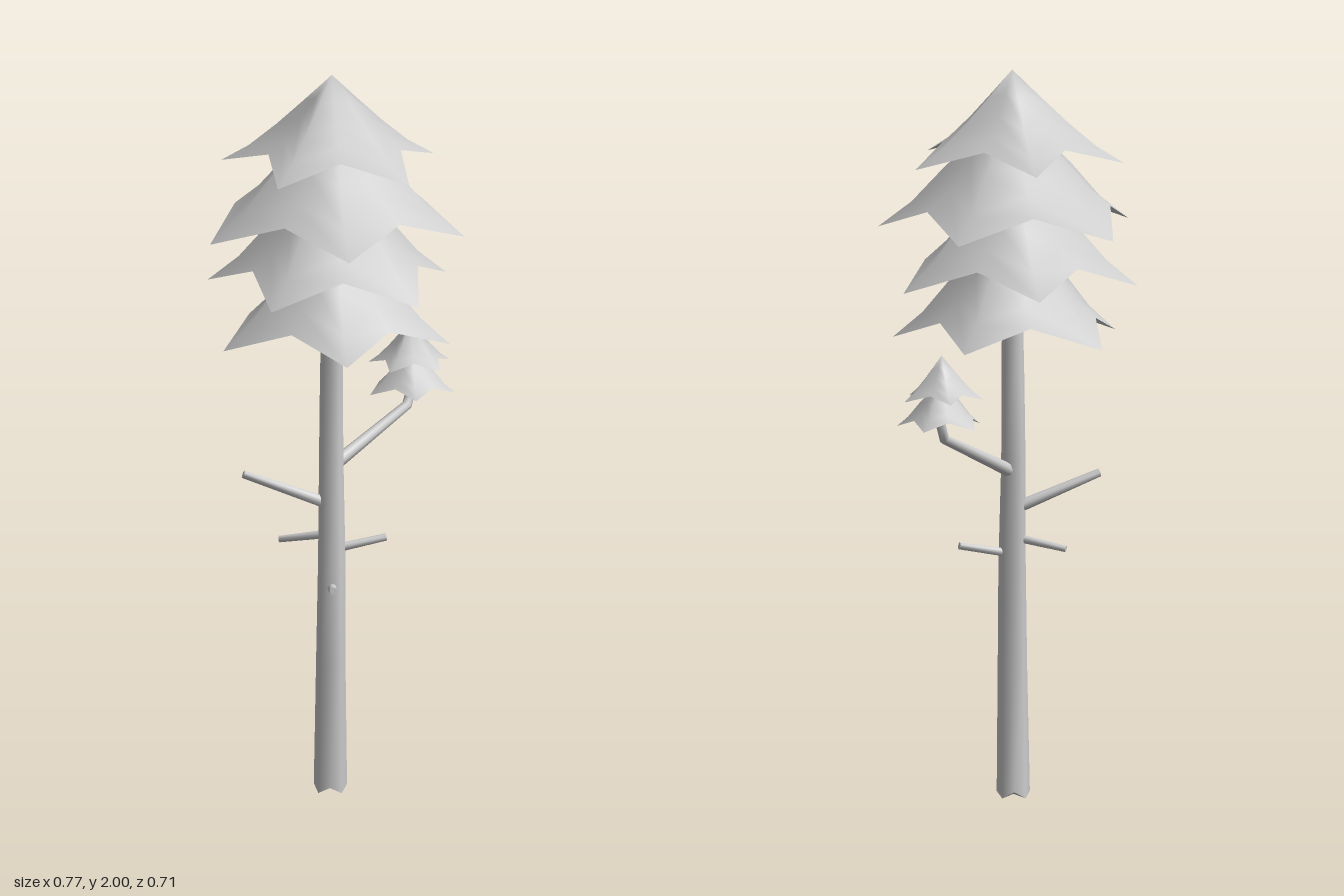
import * as THREE from 'three';

const material = new THREE.MeshStandardMaterial({ color: 0xcccccc });
const leafMaterial = new THREE.MeshStandardMaterial({ color: 0xcccccc, side: THREE.DoubleSide });
const UP = new THREE.Vector3(0, 1, 0);

function addMesh(parent, name, geometry, mat) {
  const mesh = new THREE.Mesh(geometry, mat);
  mesh.name = name;
  parent.add(mesh);
  return mesh;
}

function indexedGeometry(positions, index) {
  const geometry = new THREE.BufferGeometry();
  geometry.setAttribute('position', new THREE.Float32BufferAttribute(positions, 3));
  geometry.setIndex(index);
  geometry.computeVertexNormals();
  return geometry;
}

// Tapered limb through stations [x, y, z, radius]; jag makes the first ring uneven
function limb(stations, sides, jag = 0) {
  const pts = stations.map(([x, y, z]) => new THREE.Vector3(x, y, z));
  const positions = [], index = [];
  const ring = (i, lift) => {
    const a = pts[Math.max(i - 1, 0)], b = pts[i], c = pts[Math.min(i + 1, pts.length - 1)];
    const dir = new THREE.Vector3();
    if (i > 0) dir.add(b.clone().sub(a).normalize());
    if (i < pts.length - 1) dir.add(c.clone().sub(b).normalize());
    const q = new THREE.Quaternion().setFromUnitVectors(UP, dir.normalize());
    for (let s = 0; s < sides; s++) {
      const t = (s / sides) * Math.PI * 2, r = stations[i][3];
      const v = new THREE.Vector3(Math.sin(t) * r, lift * (s % 2), Math.cos(t) * r);
      positions.push(...v.applyQuaternion(q).add(b).toArray());
    }
  };
  const cap = (i, lift, flip) => {
    const start = positions.length / 3;
    ring(i, lift);
    positions.push(pts[i].x, pts[i].y + lift / 2, pts[i].z);
    for (let s = 0; s < sides; s++) {
      const a = start + s, b = start + (s + 1) % sides;
      index.push(start + sides, flip ? b : a, flip ? a : b);
    }
  };
  pts.forEach((_, i) => ring(i, i === 0 ? jag : 0));
  for (let i = 0; i < pts.length - 1; i++) {
    for (let s = 0; s < sides; s++) {
      const a = i * sides + s, b = i * sides + (s + 1) % sides;
      index.push(a, b, b + sides, a, b + sides, a + sides);
    }
  }
  cap(0, jag, true);
  cap(pts.length - 1, 0, false);
  return indexedGeometry(positions, index);
}

// Height fractions at a quarter, half, three quarters and all of the radius
const POINTED = [0.71, 0.43, 0.18, 0];
const DOMED = [0.9, 0.6, 0.25, 0];

// Open five-pointed star cone, rim tips at y = 0, notches drawn in and raised
function starCone(profile, radius, rise, notchRadius, notchLift, turned) {
  const positions = [0, rise, 0], index = [];
  const n = 10;
  profile.forEach((height, k) => {
    const s = (k + 1) / profile.length;
    for (let j = 0; j < n; j++) {
      const tip = j % 2 === 0;
      const angle = (j / n) * Math.PI * 2 + (turned ? Math.PI : 0);
      const r = s * (tip ? radius : notchRadius);
      const y = rise - (1 - height) * (tip ? rise : rise - notchLift);
      positions.push(Math.sin(angle) * r, y, Math.cos(angle) * r);
      const a = 1 + k * n + j, b = 1 + k * n + (j + 1) % n;
      if (k === 0) index.push(0, a, b);
      else index.push(a - n, a, b, a - n, b, b - n);
    }
  });
  return indexedGeometry(positions, index);
}

export function createModel() {
  const tree = new THREE.Group();
  tree.name = 'tree';

  // Gently bent trunk with a rough cut foot
  addMesh(tree, 'trunk', limb([
    [-0.05, 0.006, 0.015, 0.045], [-0.06, 0.36, 0.027, 0.04], [-0.045, 0.65, 0.015, 0.037],
    [-0.03, 0.93, -0.003, 0.033], [-0.034, 1.15, 0.002, 0.031], [-0.038, 1.37, 0.008, 0.028],
  ], 8, 0.018), material);

  // Crown tiers: [tip height, profile, radius, rise, notch radius, notch lift, turned]
  const crown = new THREE.Group();
  crown.name = 'crown';
  crown.position.set(-0.04, 0, 0.01);
  tree.add(crown);
  [
    [1.748, POINTED, 0.305, 0.252, 0.19, 0.05, false],
    [1.565, DOMED, 0.365, 0.28, 0.267, 0.065, true],
    [1.412, DOMED, 0.342, 0.28, 0.237, 0.065, false],
    [1.263, DOMED, 0.325, 0.28, 0.227, 0.06, true],
  ].forEach(([y, ...shape], i) => {
    addMesh(crown, 'crownTier' + (i + 1), starCone(...shape), leafMaterial).position.y = y;
  });

  // Long side branch carrying a small crown
  addMesh(tree, 'sideBranch', limb([
    [-0.03, 0.9, -0.003, 0.019], [0.257, 1.023, -0.008, 0.014],
    [0.273, 1.06, -0.01, 0.013], [0.273, 1.11, -0.01, 0.012],
  ], 8), material);
  const smallCrown = new THREE.Group();
  smallCrown.name = 'smallCrown';
  smallCrown.position.set(0.272, 0, -0.01);
  tree.add(smallCrown);
  [
    [1.135, POINTED, 0.116, 0.12, 0.075, 0.018, false],
    [1.06, DOMED, 0.121, 0.105, 0.086, 0.022, true],
  ].forEach(([y, ...shape], i) => {
    addMesh(smallCrown, 'smallCrownTier' + (i + 1), starCone(...shape), leafMaterial).position.y = y;
  });

  // Bare broken stubs
  [
    [[-0.04, 0.8, 0, 0.017], [-0.23, 0.89, -0.138, 0.011]],
    [[-0.04, 0.675, 0.01, 0.012], [0.086, 0.702, 0.09, 0.01]],
    [[-0.045, 0.72, 0.01, 0.012], [-0.112, 0.692, -0.12, 0.009]],
    [[-0.05, 0.572, 0.02, 0.013], [-0.15, 0.6, 0.132, 0.01]],
  ].forEach((stations, i) => addMesh(tree, 'stub' + (i + 1), limb(stations, 8), material));

  return tree;
}
